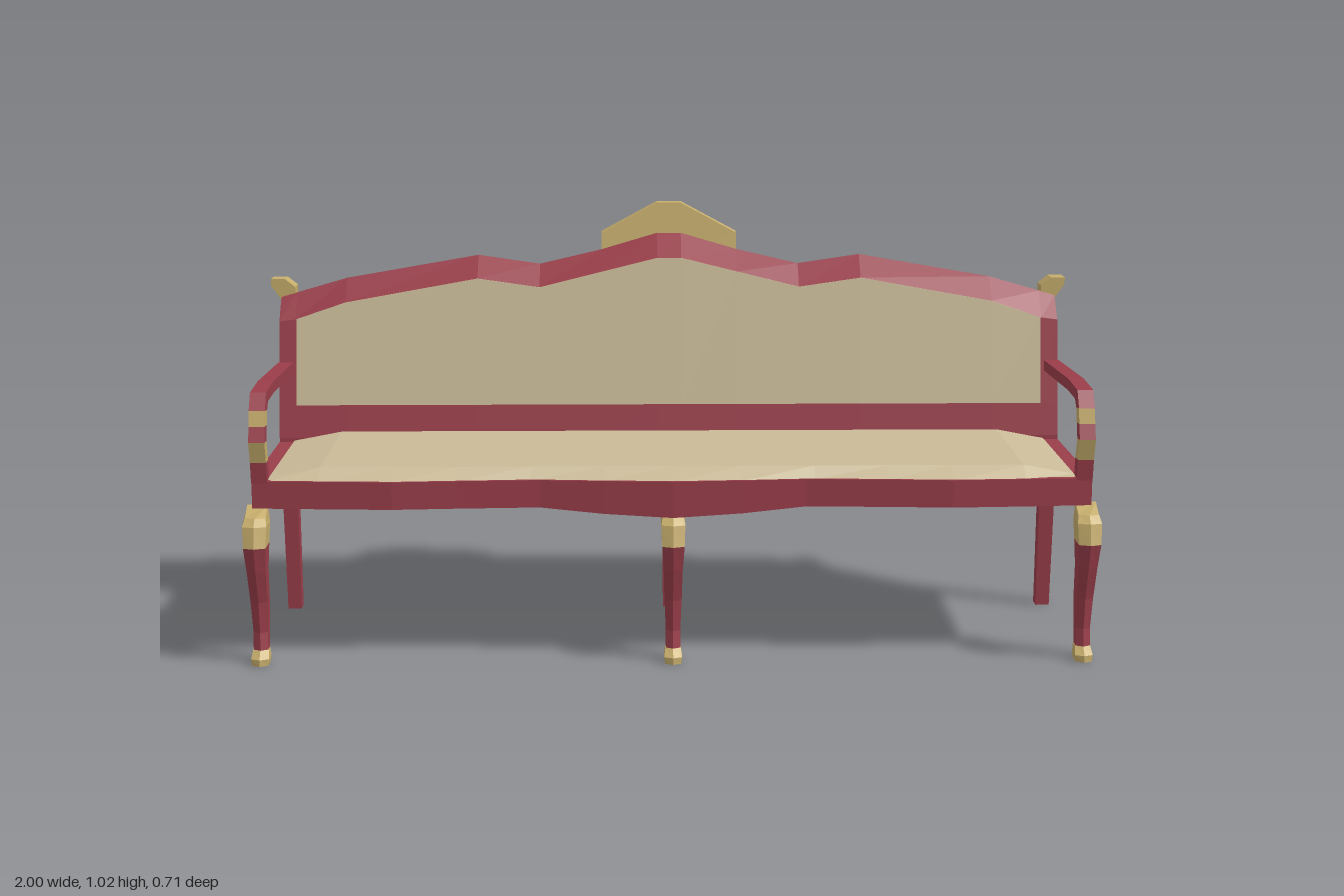
import * as THREE from 'three';

const paint = (color, extra = {}) => new THREE.MeshStandardMaterial({ color, flatShading: true, ...extra });
const wood = paint(0x9a3e4a);
const gold = paint(0xc6ad6c);
const fabric = paint(0xcabb98);

// Joins equal-sized rings of [x, y, z] into a closed, flat-shaded solid, facing outward.
// Ring point i is paired with point n-1-i to close the two ends.
function loft(rings) {
  const tris = [];
  const quad = (a, b, c, d) => tris.push([a, b, c], [a, c, d]);
  const n = rings[0].length;
  for (let r = 0; r < rings.length - 1; r++) {
    const p = rings[r], q = rings[r + 1];
    for (let i = 0; i < n; i++) {
      const j = (i + 1) % n;
      quad(p[i], p[j], q[j], q[i]);
    }
  }
  const first = rings[0], last = rings[rings.length - 1];
  for (let i = 0; i < n / 2 - 1; i++) {
    quad(first[n - 1 - i], first[n - 2 - i], first[i + 1], first[i]);
    quad(last[i], last[i + 1], last[n - 2 - i], last[n - 1 - i]);
  }
  const o = new THREE.Vector3(...first[0]);
  let volume = 0;
  for (const t of tris) {
    const [a, b, c] = t.map(v => new THREE.Vector3(...v).sub(o));
    volume += a.dot(b.cross(c));
  }
  if (volume < 0) tris.forEach(t => t.reverse());
  const geo = new THREE.BufferGeometry();
  geo.setAttribute('position', new THREE.Float32BufferAttribute(tris.flat(2), 3));
  geo.computeVertexNormals();
  return geo;
}

// Piecewise-linear lookup in [[x, y], ...], symmetric about x = 0
function lookup(table, x) {
  const a = Math.abs(x);
  for (let i = 1; i < table.length; i++) {
    const [x0, y0] = table[i - 1], [x1, y1] = table[i];
    if (a <= x1) return y0 + (y1 - y0) * (a - x0) / (x1 - x0);
  }
  return table[table.length - 1][1];
}
const mirrored = xs => [...xs.map(x => -x).reverse(), ...xs];

// Contours across the width
const crown = [[0, 0.945], [0.03, 0.945], [0.17, 0.905], [0.325, 0.87], [0.48, 0.892], [0.82, 0.835], [0.975, 0.79]];
const panelTop = [[0, 0.89], [0.03, 0.89], [0.325, 0.818], [0.48, 0.84], [0.8, 0.785], [0.935, 0.74], [0.975, 0.735]];
const seatFront = [[0, 0.326], [0.16, 0.316], [0.33, 0.301], [0.5, 0.312], [0.65, 0.322], [0.8, 0.314], [0.975, 0.302]];
const apron = [[0, 0.354], [0.16, 0.362], [0.31, 0.375], [0.975, 0.375]];
const backFront = [[0.37, -0.143], [0.45, -0.145], [0.53, -0.161], [0.735, -0.202], [0.89, -0.226]];

export function createModel() {
  const model = new THREE.Group();
  const add = (name, rings, material) => {
    const mesh = new THREE.Mesh(loft(rings), material);
    mesh.name = name;
    model.add(mesh);
  };

  // Backrest: side profile swept across the width, flaring backward at the top
  const backXs = mirrored([0.03, 0.17, 0.325, 0.48, 0.81, 0.935, 0.975]);
  add('backrestFrame', backXs.map(x => {
    const yo = lookup(crown, x), yi = lookup(panelTop, x);
    const t = (yo - 0.79) / 0.155;
    return [
      [0.37, -0.143], [0.45, -0.145], [0.53, -0.161], [yi, lookup(backFront, yi)], [yo, -0.25 - 0.045 * t],
      [yo - 0.008 - 0.024 * t, -0.3 - 0.04 * t], [yo - 0.06 - 0.03 * t, -0.245 - 0.03 * t],
      [0.53, -0.2], [0.44, -0.186], [0.37, -0.19],
    ].map(([y, z]) => [x, y, z]);
  }), wood);

  // Upholstered panel lying just proud of the backrest
  add('backrestFabric', mirrored([0.03, 0.17, 0.325, 0.48, 0.81, 0.932]).map(x => {
    const yi = lookup(panelTop, x), z = lookup(backFront, yi);
    return [[x, 0.53, -0.158], [x, yi, z + 0.003], [x, yi, z - 0.01], [x, 0.53, -0.172]];
  }), fabric);

  // Crest ornament
  add('crestOrnament', [[-0.17, 0.945, 0], [-0.03, 1.02, 1], [0.03, 1.02, 1], [0.17, 0.945, 0]].map(([x, y, k]) => [
    [x, 0.904, -0.288], [x, y, -0.295 - 0.012 * k], [x, y, -0.345 - 0.006 * k], [x, 0.904, -0.338],
  ]), gold);

  // Serpentine seat frame and cushion
  const seatXs = mirrored([0, 0.16, 0.31, 0.5, 0.65, 0.8, 0.975]);
  add('seatFrame', seatXs.map(x => {
    const z = lookup(seatFront, x);
    return [[x, lookup(apron, x), z], [x, 0.44, z], [x, 0.44, -0.15], [x, 0.375, -0.15]];
  }), wood);
  add('seatCushion', mirrored([0, 0.16, 0.33, 0.5, 0.65, 0.82, 0.938]).map(x => {
    const h = Math.abs(x) > 0.9 ? 0.443 : 0.465;
    return [[x, 0.438, lookup(seatFront, x) - 0.003], [x, h, 0.27], [x, h, -0.15], [x, 0.438, -0.15]];
  }), fabric);

  // Cabriole front legs: rows of [y, front z, back z, half width], with a front ridge
  const legRing = x => ([y, zf, zb, w, yb = y]) => [
    [x - w, yb, zb], [x - w, y, zf - 0.01], [x, y, zf], [x + w, y, zf - 0.01], [x + w, yb, zb], [x, yb, zb],
  ];
  const knee = [[0.355, 0.325, 0.272, 0.024, 0.377], [0.338, 0.343, 0.274, 0.028], [0.29, 0.355, 0.284, 0.026]];
  const shin = [[0.29, 0.354, 0.284, 0.026], [0.23, 0.338, 0.283, 0.022], [0.15, 0.311, 0.269, 0.02],
    [0.075, 0.302, 0.266, 0.017], [0.034, 0.308, 0.272, 0.017]];
  const foot = [[0.034, 0.308, 0.272, 0.018], [0.016, 0.327, 0.279, 0.021], [0, 0.327, 0.277, 0.019]];
  for (const x of [-0.967, 0, 0.967]) {
    add('frontLegKnee', knee.map(legRing(x)), gold);
    add('frontLegShin', shin.map(legRing(x)), wood);
    add('frontLegFoot', foot.map(legRing(x)), gold);
  }

  // Splayed rear legs
  for (const x of [-0.955, 0, 0.955]) {
    add('rearLeg', [[0.44, -0.146, -0.186, 0.0195], [0, -0.175, -0.21, 0.017]].map(([y, zf, zb, w]) => [
      [x - w, y, zb], [x - w, y, zf], [x + w, y, zf], [x + w, y, zb],
    ]), wood);
  }

  // Arms: rows of [outer z, outer y, inner z, inner y] from the backrest round to the seat
  const armPath = [
    [-0.163, 0.638, -0.163, 0.612], [0.16, 0.649, 0.16, 0.622], [0.276, 0.643, 0.25, 0.618], [0.303, 0.605, 0.268, 0.601],
    [0.312, 0.57, 0.281, 0.568], [0.326, 0.535, 0.294, 0.533], [0.312, 0.485, 0.279, 0.485], [0.305, 0.435, 0.27, 0.435],
  ];
  const armParts = [['armRest', 0, 3, wood], ['armCollar', 3, 4, gold], ['armBend', 4, 5, wood],
    ['armSupport', 5, 6, gold], ['armBase', 6, 7, wood]];
  // Scrolled corner caps on the backrest
  const cap = [[0.965, 0.835], [1, 0.835], [1, 0.818], [0.977, 0.785], [0.94, 0.785], [0.94, 0.815]];
  for (const s of [-1, 1]) {
    for (const [name, from, to, material] of armParts) {
      add(name, armPath.slice(from, to + 1).map(([zo, yo, zi, yi]) => [
        [s * 0.938, yo, zo], [s * 0.975, yo, zo], [s * 0.975, yi, zi], [s * 0.938, yi, zi],
      ]), material);
    }
    add('cornerCap', [-0.252, -0.303].map(z => cap.map(([x, y]) => [s * x, y, z])), gold);
  }
  return model;
}
